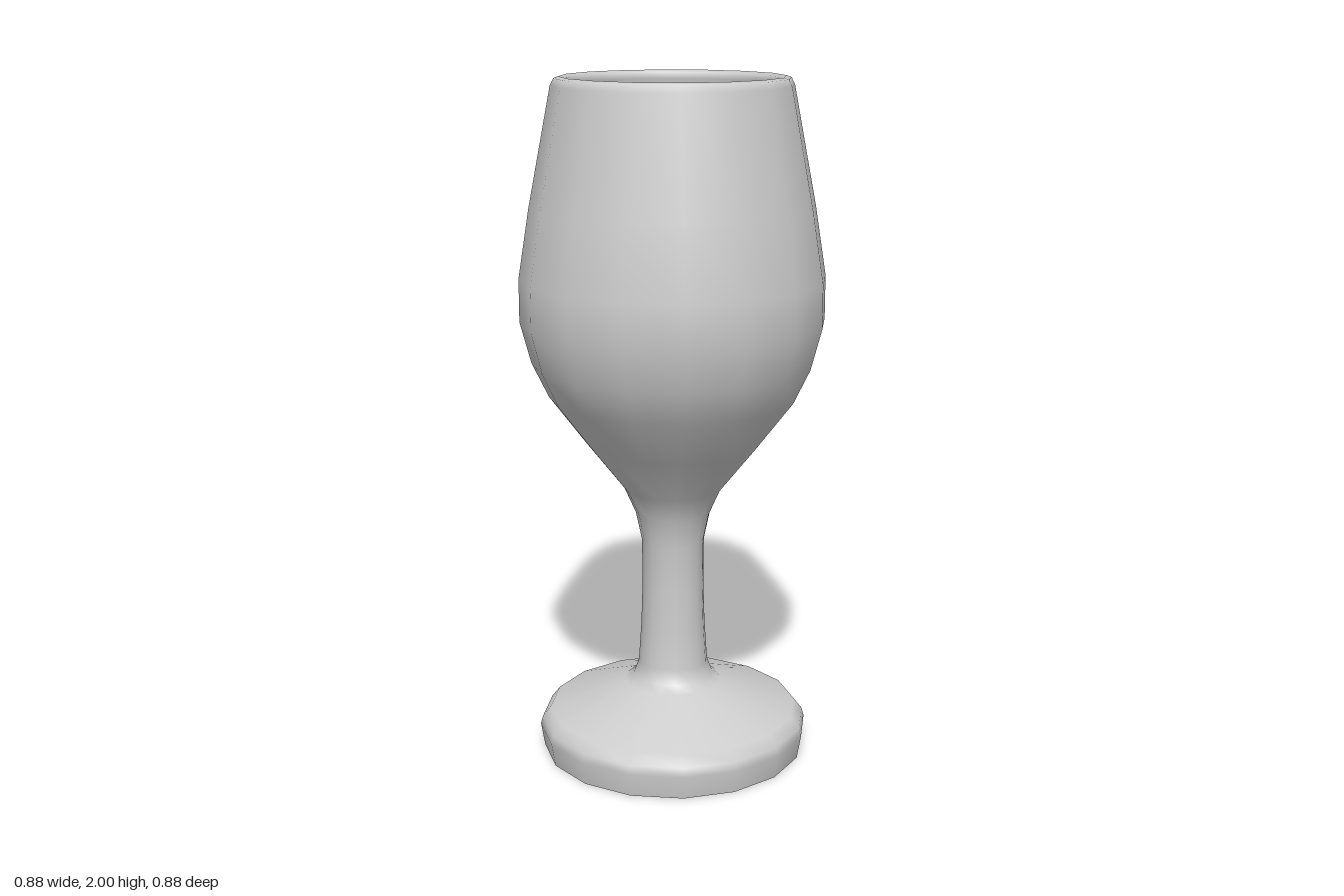
import * as THREE from 'three';

const SIDES = 16;

export function createModel() {
  const group = new THREE.Group();
  group.name = 'goblet';
  const grey = new THREE.MeshStandardMaterial({ color: 0xcccccc });
  grey.name = 'light grey';

  // Each part is a turned profile of [radius, height] pairs
  const turn = (name, profile) => {
    const points = profile.map(([r, y]) => new THREE.Vector2(r, y));
    const mesh = new THREE.Mesh(new THREE.LatheGeometry(points, SIDES), grey);
    mesh.name = name;
    group.add(mesh);
  };

  // Flat underside of the foot
  turn('footUnderside', [[0, 0], [0.39, 0]]);

  // Foot, stem, bowl, rounded rim and inner wall as one smooth skin
  turn('gobletBody', [
    [0.39, 0], [0.402, 0.07], [0.395, 0.095], [0.37, 0.127],
    [0.145, 0.208], [0.118, 0.23], [0.103, 0.27],
    [0.095, 0.39], [0.091, 0.52], [0.092, 0.65],
    [0.11, 0.735], [0.143, 0.81],
    [0.25, 0.945], [0.36, 1.09], [0.408, 1.19], [0.44, 1.31],
    [0.44, 1.435], [0.408, 1.635], [0.342, 1.975],
    [0.332, 1.995], [0.318, 2], [0.304, 1.993], [0.297, 1.975],
    [0.365, 1.63], [0.395, 1.4],
  ]);

  // Flat floor inside the bowl
  turn('bowlFloor', [[0.395, 1.4], [0, 1.4]]);

  return group;
}
